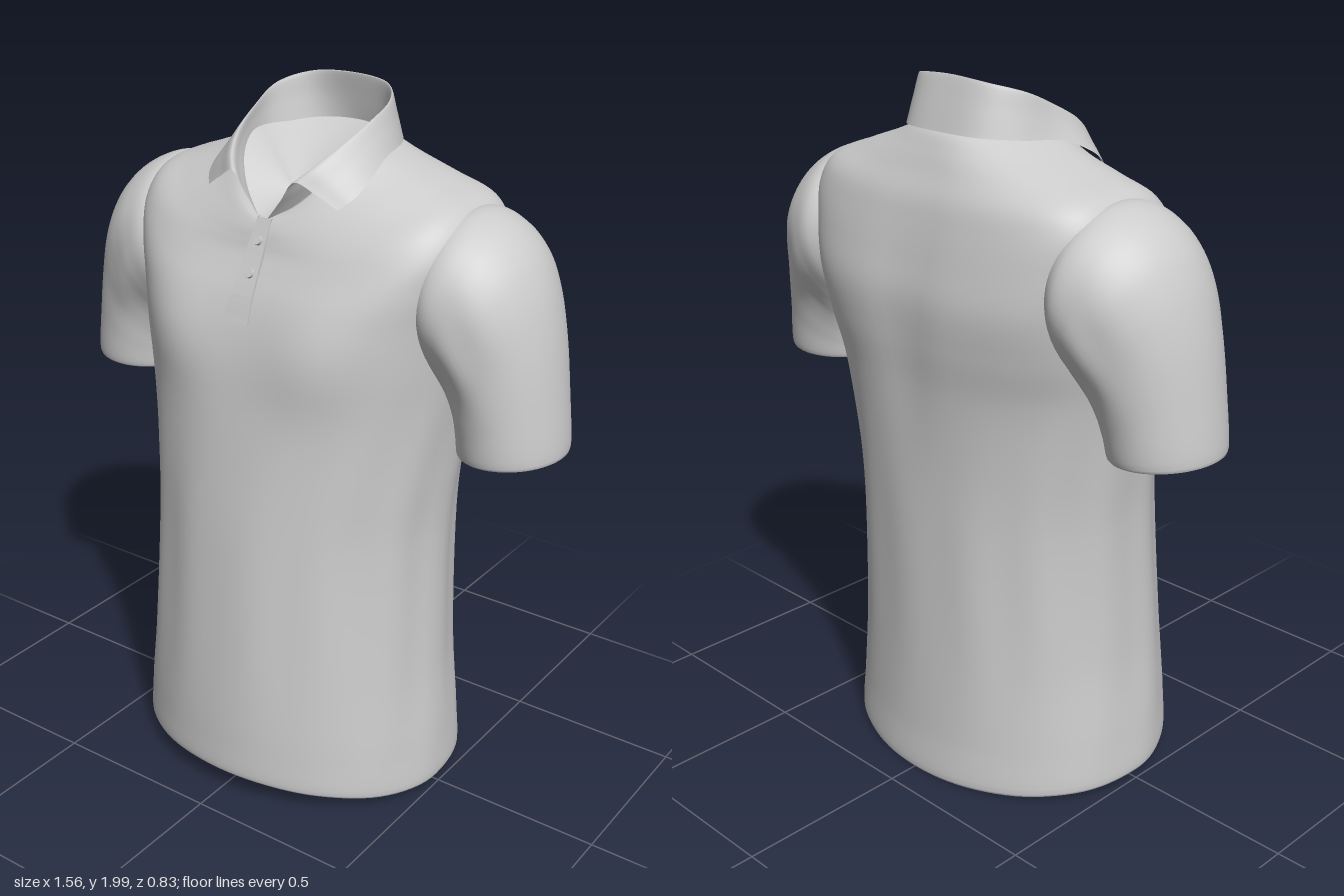
import * as THREE from 'three';

const V = (x, y, z) => new THREE.Vector3(x, y, z);
const cloth = new THREE.MeshStandardMaterial({ color: 0xcccccc, side: THREE.DoubleSide });

// Smooth skin through equal-length point sections
function loft(sections, steps, closed, rule) {
  const n = sections[0].length;
  const rows = (sections.length - 1) * steps;
  const pos = [], index = [];
  const curves = sections[0].map((_, i) => new THREE.CatmullRomCurve3(sections.map(s => s[i])));
  for (let j = 0; j <= rows; j++) {
    for (let i = 0; i < n; i++) {
      const p = curves[i].getPoint(j / rows);
      if (rule) rule(p, i / n * Math.PI * 2, j / rows);
      pos.push(p.x, p.y, p.z);
    }
  }
  for (let j = 0; j < rows; j++) {
    for (let i = 0; i < (closed ? n : n - 1); i++) {
      const a = j * n + i, b = j * n + (i + 1) % n;
      index.push(a, a + n, b, b, a + n, b + n);
    }
  }
  const g = new THREE.BufferGeometry();
  g.setAttribute('position', new THREE.Float32BufferAttribute(pos, 3));
  g.setIndex(index);
  g.computeVertexNormals();
  return g;
}

// Shallow lining that closes an opening towards a centre point
const lining = (section, centre) => loft([section.map(p => p.clone().lerp(centre, .999)), section], 4, true);

function part(name, geometry, parent) {
  const m = new THREE.Mesh(geometry, cloth);
  m.name = name;
  parent.add(m);
  return m;
}

const bump = (d, w) => Math.exp(-d * d / (w * w));

// Body rings: half width, y at side, front, back, z at side, front, back, squareness
const bodyRings = [
  [.475, .09, .14, .07, 0, .39, -.39, 0],
  [.478, .05, .1, .03, 0, .394, -.394, 0],
  [.492, .03, .08, .01, 0, .41, -.41, 0],
  [.485, .16, .18, .15, 0, .412, -.405, 0],
  [.46, .4, .4, .4, 0, .402, -.4, 0],
  [.445, .8, .8, .8, -.02, .372, -.4, 0],
  [.457, 1, 1, 1, -.03, .35, -.402, .1],
  [.475, 1.2, 1.2, 1.2, -.05, .325, -.41, .3],
  [.49, 1.33, 1.33, 1.33, -.08, .305, -.42, .6],
  [.5, 1.46, 1.43, 1.45, -.1, .28, -.42, .9],
  [.515, 1.58, 1.5, 1.55, -.1, .255, -.4, 1],
  [.52, 1.67, 1.56, 1.64, -.1, .225, -.378, 1],
  [.48, 1.735, 1.6, 1.7, -.1, .205, -.36, 1],
  [.38, 1.778, 1.63, 1.76, -.1, .195, -.33, .7],
  [.28, 1.815, 1.66, 1.815, -.09, .185, -.303, .3],
  [.21, 1.845, 1.68, 1.855, -.07, .173, -.278, .1],
  [.18, 1.86, 1.69, 1.87, -.06, .16, -.253, 0]
];

function bodySection([w, ys, yf, yb, zs, zf, zb, e]) {
  const pts = [];
  for (let i = 0; i < 96; i++) {
    const a = i / 96 * Math.PI * 2, s = Math.sin(a), c = Math.cos(a);
    const x = w * Math.sign(c) * Math.abs(c) ** (1 - .35 * e);
    const y = ys + ((s > 0 ? yf : yb) - ys) * s * s;
    const z = zs + ((s > 0 ? zf : zb) - zs) * Math.abs(s) ** (s > 0 ? 1 - .25 * e : .88 - .28 * e);
    pts.push(V(x, y, z));
  }
  return pts;
}

// Chest fullness, spine hollow and soft hanging folds
function bodyShape(p, a) {
  const front = Math.max(0, Math.sin(a)), back = Math.max(0, -Math.sin(a));
  const chest = bump(Math.abs(p.x) - .24, .14) * bump(p.y - 1.37, .15);
  p.z += front * .024 * chest;
  p.z += back * .014 * bump(p.x, .09) * bump(p.y - 1.35, .35);
  const fold = bump(p.y - .65, .42) * (.3 + .7 * Math.abs(Math.cos(a)));
  const wave = 1 + .013 * fold * Math.sin(13 * a + 4 * p.y + Math.sin(5 * p.y));
  p.x *= wave;
  p.z *= wave;
}

// Sleeve rings from inside the shoulder: outer x, y, inner x, y, then z at front and back
const sleeveRings = [
  [.36, 1.68, .38, 1.37, .06, -.27],
  [.485, 1.735, .43, 1.3, .135, -.35],
  [.575, 1.708, .455, 1.26, .138, -.35],
  [.645, 1.648, .47, 1.23, .128, -.335],
  [.693, 1.565, .48, 1.2, .115, -.312],
  [.73, 1.45, .485, 1.165, .1, -.288],
  [.76, 1.29, .488, 1.125, .09, -.267],
  [.78, 1.112, .492, 1.092, .08, -.25],
  [.768, 1.13, .504, 1.11, .068, -.238],
  [.762, 1.17, .508, 1.15, .064, -.234]
];

function sleeveSection([ox, oy, ix, iy, zf, zb]) {
  const pts = [];
  for (let i = 0; i < 64; i++) {
    const a = i / 64 * Math.PI * 2, t = (1 + Math.cos(a)) / 2;
    pts.push(V(ix + (ox - ix) * t, iy + (oy - iy) * t,
      (zf + zb) / 2 - (zf - zb) / 2 * Math.sin(a)));
  }
  return pts;
}

// Diagonal creases running out of the armpit
function sleeveShape(p, a, t) {
  const crease = bump(t - .38, .17) * (1 - Math.cos(a)) / 2;
  p.z += .008 * crease * Math.sin(40 * p.x + 26 * p.y) * -Math.sin(a);
}

// Collar edges, each from the centre back to the left front
const collarFall = [[0, 1.86, -.279], [.13, 1.858, -.26], [.205, 1.85, -.175], [.232, 1.835, -.05],
  [.245, 1.795, .045], [.235, 1.76, .1], [.21, 1.735, .135]];
const collarFold = [[0, 2, -.23], [.125, 1.99, -.215], [.185, 1.965, -.14], [.182, 1.918, -.03],
  [.16, 1.872, .07], [.13, 1.832, .135], [.1, 1.798, .172]];
const collarBase = [[0, 1.865, -.25], [.1, 1.865, -.22], [.17, 1.855, -.12], [.178, 1.85, -.03],
  [.15, 1.805, .05], [.09, 1.735, .115], [.012, 1.685, .172]];

const mix = (a, b, t, lift) => a.map((p, i) =>
  p.map((v, k) => v + (b[i][k] - v) * t + (k === 1 ? lift : 0)));

function collarSection(half) {
  const left = half.map(p => V(...p));
  const right = half.slice(1).reverse().map(([x, y, z]) => V(-x, y, z));
  return new THREE.CatmullRomCurve3([...right, ...left]).getPoints(72);
}

export function createModel() {
  const shirt = new THREE.Group();
  shirt.name = 'poloShirt';

  part('body', loft(bodyRings.map(bodySection), 6, true, bodyShape), shirt);
  part('hemLining', lining(bodySection(bodyRings[0]), V(0, .1, 0)), shirt);
  part('neckLining', lining(bodySection(bodyRings.at(-1)), V(0, 1.73, .03)), shirt);

  for (const side of [1, -1]) {
    const sleeve = part(side > 0 ? 'leftSleeve' : 'rightSleeve',
      loft(sleeveRings.map(sleeveSection), 6, true, sleeveShape), shirt);
    part('cuffLining', lining(sleeveSection(sleeveRings.at(-1)), V(.632, 1.2, -.085)), sleeve);
    sleeve.scale.x = side;
  }

  // Folded collar: outer fall, rolled top and inner stand
  const collar = [collarFall, mix(collarFall, collarFold, .5, .004), collarFold,
    mix(collarFold, collarBase, .5, 0), collarBase];
  part('collar', loft(collar.map(collarSection), 6, false), shirt);

  // Button placket lying on the chest
  const placketLine = [[.006, 1.69, .17], [0, 1.6, .21], [-.004, 1.5, .259], [-.008, 1.43, .284]];
  const placket = placketLine.map(([x, y, z], i) => {
    const w = .022 + .006 * i;
    return [V(x - w, y, z - .03), V(x - w, y, z + .004), V(x + w, y, z + .004), V(x + w, y, z - .03)];
  });
  part('placket', loft(placket, 4, true).toNonIndexed(), shirt).geometry.computeVertexNormals();

  // Buttons
  for (const [y, z] of [[1.635, .2], [1.555, .238]]) {
    const button = part('button', new THREE.CylinderGeometry(.012, .014, .012, 20), shirt);
    button.position.set(.004, y, z);
    button.rotation.x = Math.PI / 2 - .45;
  }

  return shirt;
}
